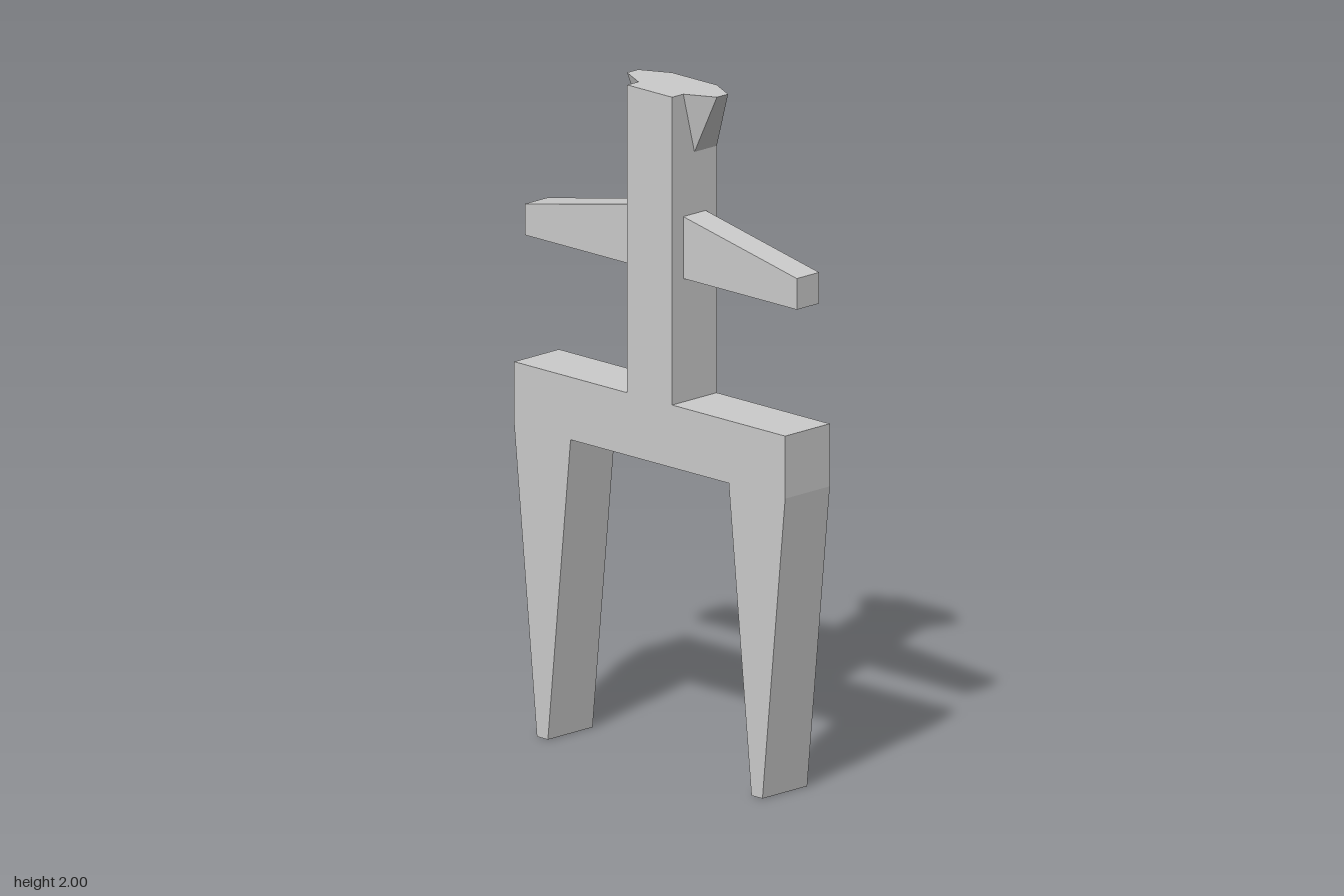
import * as THREE from 'three';

const material = new THREE.MeshStandardMaterial({ color: 0xcccccc, flatShading: true });

// Extrudes a [z, y] outline to the given width, centred on x = 0
function sideProfile(name, points, width) {
  const shape = new THREE.Shape(points.map(([z, y]) => new THREE.Vector2(z, y)));
  const geometry = new THREE.ExtrudeGeometry(shape, { depth: width, bevelEnabled: false });
  geometry.translate(0, 0, -width / 2).rotateY(-Math.PI / 2);
  const mesh = new THREE.Mesh(geometry, material);
  mesh.name = name;
  return mesh;
}

// Flared wedge at the head: a skewed trapezoid on top tapering to a line on the post
function headFlare(name, side) {
  const xs = [-0.045, 0, 0.045, 0.09];
  const [a, b, c, d] = xs.map((x, i) => [x, 2, side * (i === 1 || i === 2 ? 0.18 : 0.09)]);
  const [, lowB, lowC, lowD] = xs.map((x) => [x, 1.82, side * 0.09]);
  const faces = [
    [a, b, c], [a, c, d],             // top
    [a, lowB, b],                     // narrow side
    [b, lowB, lowC], [b, lowC, c],    // sloping front
    [c, lowC, lowD], [c, lowD, d],    // wide side
  ];
  const corners = faces.flatMap((f) => (side > 0 ? f : [...f].reverse()));
  const geometry = new THREE.BufferGeometry();
  geometry.setAttribute('position', new THREE.Float32BufferAttribute(corners.flat(), 3));
  geometry.computeVertexNormals();
  const mesh = new THREE.Mesh(geometry, material);
  mesh.name = name;
  return mesh;
}

export function createModel() {
  const model = new THREE.Group();
  model.name = 'figure';

  // Legs, hip beam and upright post share one silhouette, mirrored in z
  const half = [
    [0.09, 2], [0.09, 1.09], [0.543, 1.09], [0.543, 0.905],
    [0.452, 0], [0.408, 0], [0.317, 0.905],
  ];
  const mirrored = half.map(([z, y]) => [-z, y]).reverse();
  model.add(sideProfile('bodyAndLegs', [...half, ...mirrored], 0.18));

  // Tapered arms and head flares, front and back
  for (const [label, side] of [['front', 1], ['back', -1]]) {
    const arm = [[0.09, 1.455], [0.545, 1.455], [0.545, 1.547], [0.09, 1.638]];
    model.add(sideProfile(`${label}Arm`, arm.map(([z, y]) => [side * z, y]), 0.09));
    model.add(headFlare(`${label}HeadFlare`, side));
  }
  return model;
}
